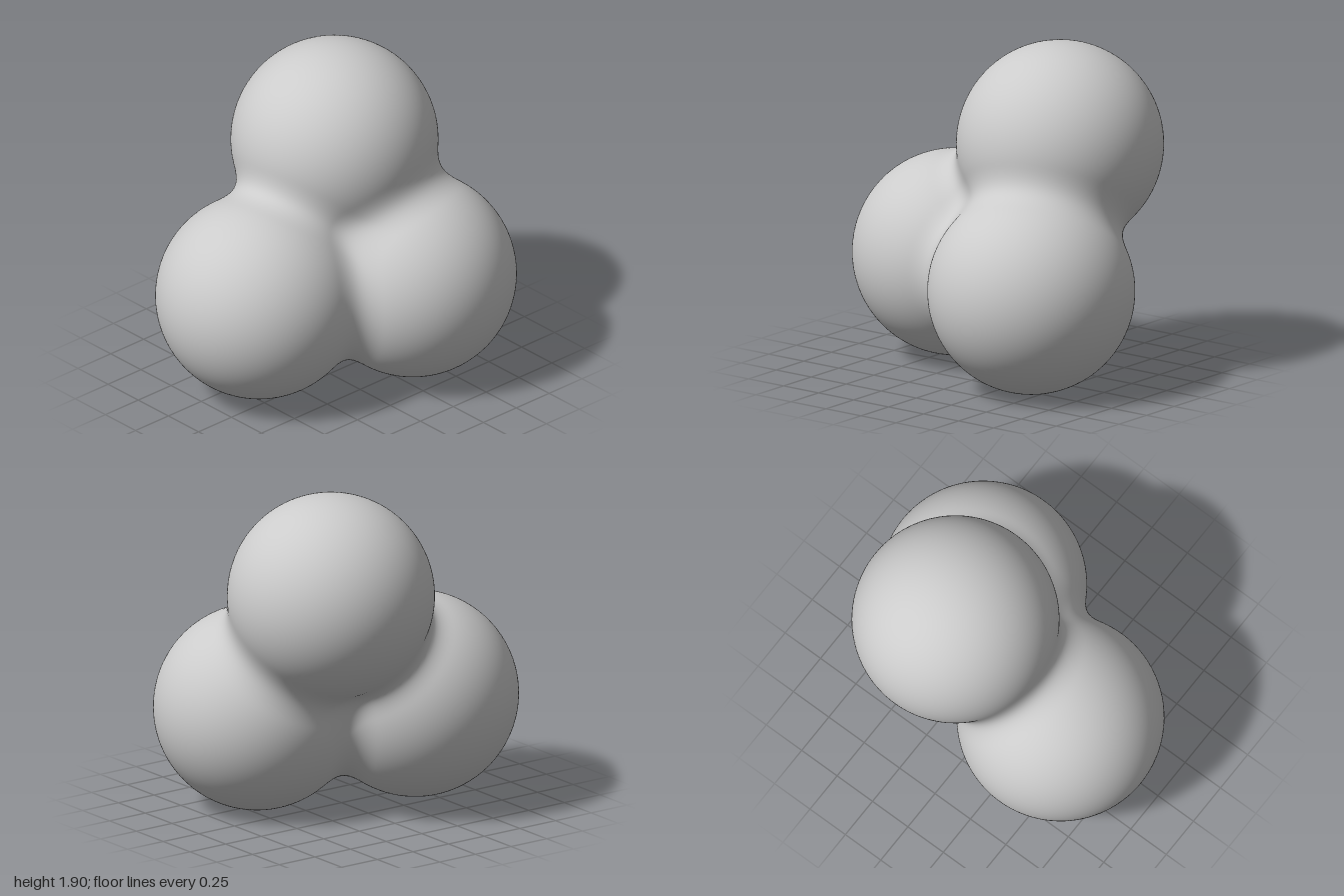
import * as THREE from 'three';
import { mergeVertices } from 'three/addons/utils/BufferGeometryUtils.js';

const RADIUS = 0.583;
const BLEND = 0.17;
const CENTRES = [
  new THREE.Vector3(-0.235, 1.317, -0.25), // upper lobe
  new THREE.Vector3(-0.135, 0.603, 0.415), // front lobe
  new THREE.Vector3(0.235, 0.585, -0.415), // back lobe
];

// Smooth union of two distances
function smoothMin(a, b) {
  const h = Math.max(BLEND - Math.abs(a - b), 0) / BLEND;
  return Math.min(a, b) - h * h * BLEND * 0.25;
}

// Signed distance to the three blended spheres
function distance(p) {
  return CENTRES.map((c) => p.distanceTo(c) - RADIUS).reduce(smoothMin);
}

// A fine ball pushed out along its rays until it meets the blended surface
function blendedLobes() {
  const ball = new THREE.IcosahedronGeometry(1, 40);
  ball.deleteAttribute('uv');
  ball.deleteAttribute('normal');
  const geometry = mergeVertices(ball);
  const middle = new THREE.Vector3();
  CENTRES.forEach((c) => middle.addScaledVector(c, 1 / 3));

  const position = geometry.attributes.position;
  const ray = new THREE.Vector3();
  const point = new THREE.Vector3();
  for (let i = 0; i < position.count; i++) {
    ray.fromBufferAttribute(position, i).normalize();
    let near = 0;
    let far = 1.5;
    for (let step = 0; step < 24; step++) {
      const t = (near + far) / 2;
      point.copy(middle).addScaledVector(ray, t);
      if (distance(point) < 0) near = t;
      else far = t;
    }
    position.setXYZ(i, point.x, point.y, point.z);
  }
  geometry.computeVertexNormals();
  return geometry;
}

export function createModel() {
  const group = new THREE.Group();
  group.name = 'threeLobedBlob';
  const material = new THREE.MeshStandardMaterial({ color: 0xcccccc });
  const lobes = new THREE.Mesh(blendedLobes(), material);
  lobes.name = 'blendedLobes';
  group.add(lobes);
  return group;
}
